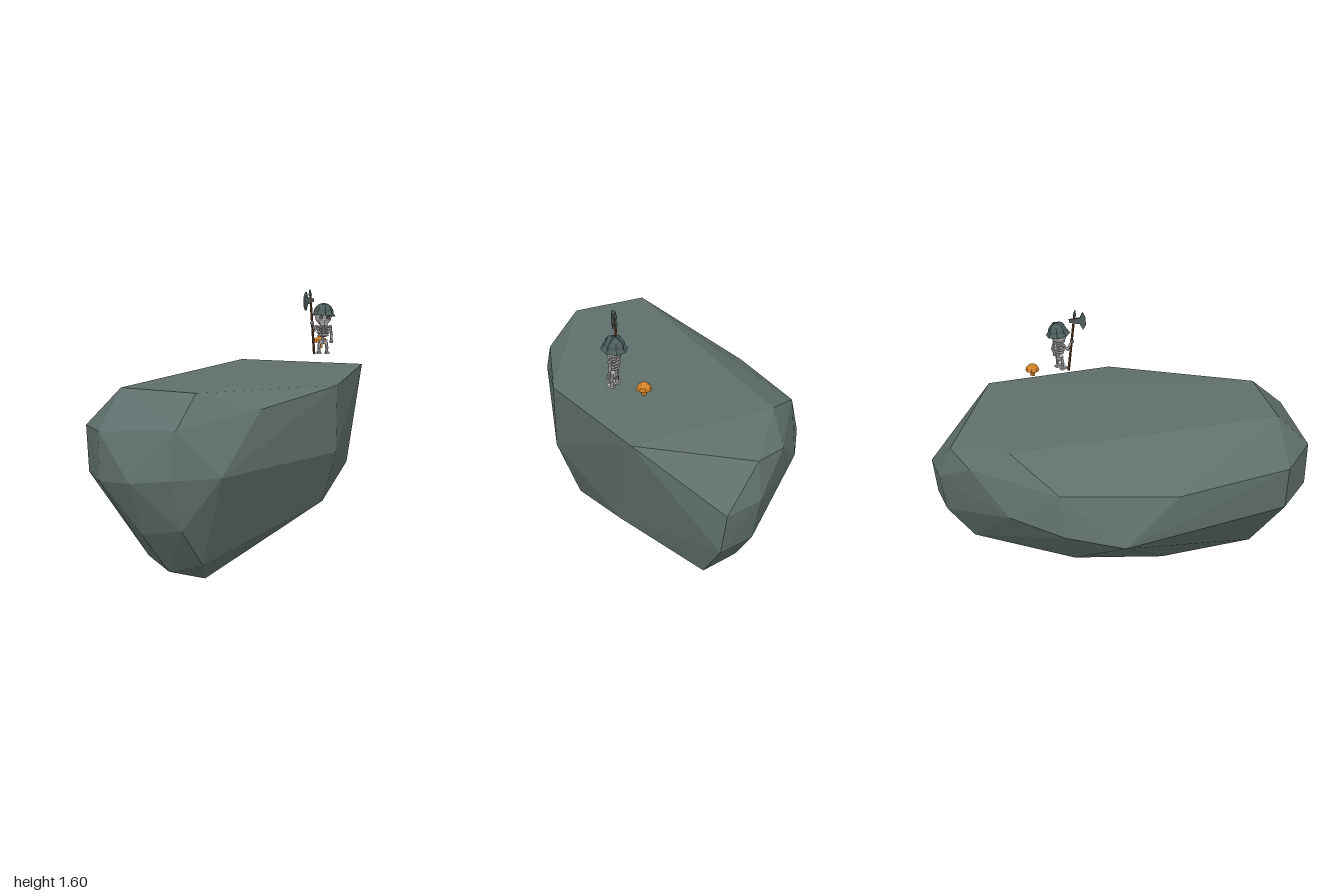
import * as THREE from 'three';
import { ConvexGeometry } from 'three/addons/geometries/ConvexGeometry.js';

const mat = (name, color) => {
  const m = new THREE.MeshStandardMaterial({ color, flatShading: true });
  m.name = name;
  return m;
};

export function createModel() {
  const stone = mat('stone', 0x5f6f6c), bone = mat('bone', 0xb9b5b8), iron = mat('iron', 0x4c5e5d);
  const wood = mat('wood', 0x6a4128), orange = mat('mushroom orange', 0xd28224), dark = mat('socket dark', 0x55504f);
  const model = new THREE.Group();
  model.name = 'rockWithSkeletonGuard';

  const add = (parent, name, geo, material, pos = [0, 0, 0], scale = [1, 1, 1]) => {
    const mesh = new THREE.Mesh(geo, material);
    mesh.name = name;
    mesh.position.set(...pos);
    mesh.scale.set(...scale);
    parent.add(mesh);
    return mesh;
  };
  // Tapered rod between two points
  const rod = (parent, name, a, b, r1, r2, material, sides = 6) => {
    const p = new THREE.Vector3(...a), q = new THREE.Vector3(...b), d = q.clone().sub(p);
    const mesh = add(parent, name, new THREE.CylinderGeometry(r2, r1, d.length(), sides), material);
    mesh.position.copy(p).add(q).multiplyScalar(0.5);
    mesh.quaternion.setFromUnitVectors(new THREE.Vector3(0, 1, 0), d.normalize());
    return mesh;
  };
  const hull = (name, pts) => add(model, name, new ConvexGeometry(pts.map(p => new THREE.Vector3(...p))), stone);

  // Boulder: two faceted hulls meeting at a shared section, which leaves the underside hollow
  const section = [
    [0.85, 1.11, -0.395], [0.555, 1.075, 0.34], [0.555, 0.69, 0.34], [0.11, 1.1, -0.82],
    [-0.24, 0.96, -0.77], [-0.3, 0.73, -0.79], [-0.136, 0.405, -0.59], [0.73, 0.505, -0.23],
  ];
  hull('boulderFront', [...section,
    // upper rim and crown
    [-0.66, 1.107, 0.55], [-0.265, 1.107, 0.795], [0.08, 1.01, 0.745], [-0.375, 0.94, 0.955],
    [-0.775, 0.9, 0.715], [-0.86, 0.885, 0.43], [-0.62, 0.89, -0.23],
    // widest belt
    [-0.145, 0.695, 0.97], [-0.405, 0.69, 0.995], [-0.615, 0.66, 0.91], [-0.775, 0.63, 0.715],
    [-0.85, 0.62, 0.43], [-0.525, 0.655, -0.555],
    // underside
    [-0.35, 0.41, 0.935], [-0.555, 0.36, 0.81], [-0.525, 0.16, 0.54], [-0.415, 0.115, 0.695],
    [-0.235, 0.175, 0.78], [-0.21, 0, 0.49], [-0.16, 0.05, 0.12], [0.215, 0.195, 0.1], [0.5, 0.37, 0.225],
  ]);
  hull('boulderBack', [...section,
    [0.5, 1.02, -0.945], [0.28, 0.99, -0.975], [0.01, 0.775, -0.925], [0.56, 0.83, -1], [0.76, 0.82, -0.915],
    [0.77, 0.585, -0.89], [0.57, 0.585, -0.965], [0.705, 0.355, -0.755], [0.5, 0.365, -0.835],
  ]);

  // Mushroom
  const mushroom = new THREE.Group();
  mushroom.name = 'mushroom';
  mushroom.position.set(0.557, 1.23, -0.28);
  model.add(mushroom);
  rod(mushroom, 'mushroomStem', [0, 0, 0], [0, 0.045, 0.005], 0.016, 0.011, orange);
  const cap = [[0, 0.045], [0.028, 0.036], [0.042, 0.034], [0.036, 0.054], [0.02, 0.068], [0, 0.072]];
  add(mushroom, 'mushroomCap', new THREE.LatheGeometry(cap.map(p => new THREE.Vector2(...p)), 8), orange);

  // Skeleton, standing at its own origin
  const guard = new THREE.Group();
  guard.name = 'skeletonGuard';
  guard.position.set(0.54, 1.213, -0.08);
  model.add(guard);

  // Skull and face
  add(guard, 'skull', new THREE.IcosahedronGeometry(1, 1), bone, [0, 0.228, 0], [0.052, 0.056, 0.052]);
  add(guard, 'jaw', new THREE.CylinderGeometry(0.032, 0.024, 0.032, 6), bone, [0, 0.186, 0.016]);
  for (const s of [-1, 1]) {
    const socket = add(guard, 'eyeSocket', new THREE.CylinderGeometry(0.012, 0.012, 0.008, 8), dark, [s * 0.021, 0.222, 0.047]);
    socket.rotation.set(Math.PI / 2, 0, -s * 0.3);
  }
  const nose = add(guard, 'noseHole', new THREE.CylinderGeometry(0.006, 0.006, 0.006, 3), dark, [0, 0.202, 0.049]);
  nose.rotation.x = Math.PI / 2;

  // Helmet: dome, sloping brim and crossed ridges
  const helmet = new THREE.Group();
  helmet.name = 'helmet';
  helmet.position.set(0.002, 0.244, -0.004);
  helmet.rotation.set(-0.1, 0, -0.06);
  guard.add(helmet);
  add(helmet, 'helmetDome', new THREE.SphereGeometry(0.058, 8, 4, 0, Math.PI * 2, 0, Math.PI / 2), iron);
  add(helmet, 'helmetBrim', new THREE.CylinderGeometry(0.056, 0.074, 0.022, 8), iron, [0, -0.004, 0]);
  for (const turn of [0, Math.PI / 2]) {
    add(helmet, 'helmetRidge', new THREE.TorusGeometry(0.057, 0.005, 4, 8, Math.PI), iron).rotation.y = turn;
  }

  // Spine, ribs, pelvis
  rod(guard, 'spine', [0, 0.065, -0.012], [0, 0.19, -0.006], 0.009, 0.009, bone);
  rod(guard, 'breastbone', [0, 0.112, 0.024], [0, 0.162, 0.022], 0.006, 0.008, bone, 4);
  [0.034, 0.038, 0.036, 0.03].forEach((r, i) => {
    const rib = add(guard, 'rib', new THREE.TorusGeometry(r, 0.0055, 4, 10), bone, [0, 0.162 - i * 0.017, 0], [1, 0.75, 1]);
    rib.rotation.x = Math.PI / 2 + 0.1;
  });
  add(guard, 'pelvis', new THREE.CylinderGeometry(0.032, 0.02, 0.026, 6), bone, [0, 0.072, 0], [1, 1, 0.7]);

  // Legs and shoulders
  for (const s of [-1, 1]) {
    const x = s * 0.024;
    rod(guard, 'thigh', [s * 0.02, 0.068, 0], [x, 0.038, 0.004], 0.011, 0.009, bone);
    add(guard, 'knee', new THREE.IcosahedronGeometry(0.012, 0), bone, [x, 0.037, 0.005]);
    rod(guard, 'shin', [x, 0.035, 0.003], [x, 0.008, 0], 0.008, 0.011, bone);
    add(guard, 'foot', new THREE.BoxGeometry(0.024, 0.012, 0.044), bone, [x, 0.006, 0.01]);
    add(guard, 'shoulder', new THREE.IcosahedronGeometry(0.013, 0), bone, [s * 0.043, 0.163, 0]);
  }
  // Arms: one hangs, the other grips the pole
  const arm = (pts) => {
    rod(guard, 'upperArm', pts[0], pts[1], 0.009, 0.008, bone);
    rod(guard, 'forearm', pts[1], pts[2], 0.008, 0.008, bone);
    add(guard, 'elbow', new THREE.IcosahedronGeometry(0.01, 0), bone, pts[1]);
    add(guard, 'hand', new THREE.IcosahedronGeometry(0.014, 0), bone, pts[2]);
  };
  arm([[0.043, 0.163, 0], [0.053, 0.115, -0.008], [0.05, 0.075, 0.006]]);
  arm([[-0.043, 0.163, 0], [-0.058, 0.14, 0.018], [-0.074, 0.19, 0.042]]);

  // Halberd
  const halberd = new THREE.Group();
  halberd.name = 'halberd';
  guard.add(halberd);
  rod(halberd, 'pole', [-0.056, 0, 0.022], [-0.091, 0.375, 0.054], 0.008, 0.007, wood);
  rod(halberd, 'topSpike', [-0.09, 0.355, 0.053], [-0.092, 0.388, 0.055], 0.011, 0.004, iron);
  const outline = [[-0.03, 0.012], [0.012, 0.018], [0.035, 0.022], [0.052, 0.055], [0.07, 0.02],
    [0.07, -0.025], [0.052, -0.055], [0.035, -0.018], [0.01, -0.014], [-0.028, -0.006]];
  const blade = new THREE.ExtrudeGeometry(new THREE.Shape(outline.map(p => new THREE.Vector2(...p))), { depth: 0.012, bevelEnabled: false });
  blade.translate(0, 0, -0.006);
  add(halberd, 'axeBlade', blade, iron, [-0.087, 0.322, 0.05]).rotation.y = -2.285;

  return model;
}
